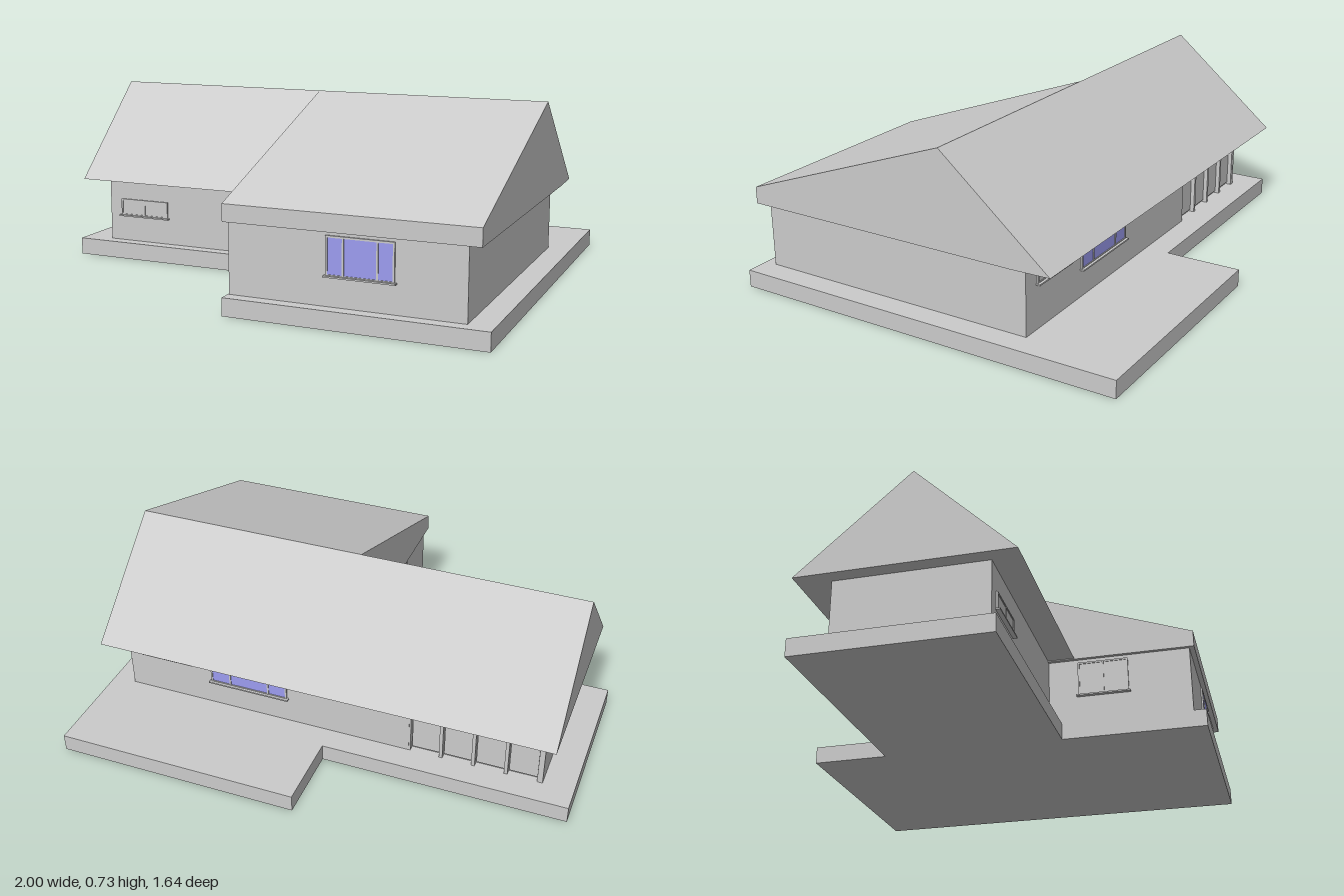
import * as THREE from 'three';

const grey = new THREE.MeshStandardMaterial({ color: 0xcccccc, flatShading: true });
const glass = new THREE.MeshStandardMaterial({ color: 0x9c9cf0 });

function extrude(points, depth) {
  const shape = new THREE.Shape(points.map(([a, b]) => new THREE.Vector2(a, b)));
  return new THREE.ExtrudeGeometry(shape, { depth, bevelEnabled: false });
}

// Footprint given as [x, z] corners, raised from y0 to y1
function plan(name, corners, y0, y1) {
  const geo = extrude(corners.map(([x, z]) => [x, -z]), y1 - y0).rotateX(-Math.PI / 2);
  const mesh = new THREE.Mesh(geo.translate(0, y0, 0), grey);
  mesh.name = name;
  return mesh;
}

// Roof cross-section given as [z, y] corners, running from x0 to x1
function roof(name, section, x0, x1) {
  const geo = extrude(section.map(([z, y]) => [-z, y]), x1 - x0).rotateY(Math.PI / 2);
  const mesh = new THREE.Mesh(geo.translate(x0, 0, 0), grey);
  mesh.name = name;
  return mesh;
}

function box(name, w, h, d, x, y, z, material = grey) {
  const mesh = new THREE.Mesh(new THREE.BoxGeometry(w, h, d), material);
  mesh.name = name;
  mesh.position.set(x, y, z);
  return mesh;
}

// Window facing +z, its bottom centre at the origin; splits are pane edges from 0 to 1
function makeWindow(name, w, h, splits, material) {
  const group = new THREE.Group();
  group.name = name;
  const t = 0.007;
  for (let i = 0; i < splits.length - 1; i++) {
    const pw = (splits[i + 1] - splits[i]) * w;
    const x = (splits[i] + splits[i + 1]) / 2 * w - w / 2;
    group.add(box('pane', pw - t, h - t, 0.004, x, h / 2, 0, material));
  }
  for (const s of splits) group.add(box('upright', t, h, 0.01, (s - 0.5) * w, h / 2, 0));
  for (const y of [0, h]) group.add(box('rail', w + t, t, 0.01, 0, y, 0));
  group.add(box('sill', w + 0.02, 0.006, 0.03, 0, -0.003, 0));
  return group;
}

export function createModel() {
  const model = new THREE.Group();

  // Stepped base with a terrace at the back
  model.add(plan('baseSlab', [
    [-1, 0.24], [0, 0.24], [0, 0.82], [1, 0.82], [1, -0.82], [0, -0.82], [0, -0.51], [-1, -0.51],
  ], 0, 0.07));

  // Walls, with a shallow recess at the back for the tall panels
  model.add(plan('walls', [
    [-0.875, 0.19], [0.005, 0.19], [0.005, 0.77], [0.905, 0.77], [0.905, -0.41],
    [-0.33, -0.41], [-0.33, -0.385], [-0.86, -0.385], [-0.86, -0.41], [-0.875, -0.41],
  ], 0.07, 0.348));

  // Two roofs sharing one ridge and the back slope
  model.add(roof('leftRoof', [[0.3, 0.347], [-0.09, 0.727], [-0.54, 0.347]], -0.935, -0.01));
  model.add(roof('rightRoof',
    [[0.79, 0.343], [0.79, 0.41], [-0.09, 0.727], [-0.54, 0.347], [-0.38, 0.343]], -0.01, 0.955));

  // Windows: name, width, height, splits, material, x, y, z, turn
  const windows = [
    ['frontWindow', 0.25, 0.14, [0, 0.25, 0.76, 1], glass, 0.517, 0.185, 0.772, 0],
    ['leftFrontWindow', 0.22, 0.065, [0, 0.5, 1], grey, -0.705, 0.183, 0.192, 0],
    ['innerSideWindow', 0.2, 0.14, [0, 0.5, 1], grey, 0.003, 0.185, 0.415, -Math.PI / 2],
    ['backWindow', 0.33, 0.14, [0, 0.25, 0.76, 1], glass, 0.36, 0.185, -0.412, Math.PI],
    ['smallBackWindow', 0.21, 0.07, [0, 0.5, 1], grey, 0.725, 0.25, -0.412, Math.PI],
  ];
  for (const [name, w, h, splits, material, x, y, z, turn] of windows) {
    const win = makeWindow(name, w, h, splits, material);
    win.position.set(x, y, z);
    win.rotation.y = turn;
    model.add(win);
  }

  // Four tall panels between posts at the back
  const panels = new THREE.Group();
  panels.name = 'tallPanels';
  const step = 0.53 / 4;
  for (let i = 0; i <= 4; i++) {
    const x = -0.86 + i * step;
    panels.add(box('post', 0.014, 0.277, 0.022, x, 0.2085, -0.398));
    if (i < 4) panels.add(box('panel', step - 0.02, 0.25, 0.008, x + step / 2, 0.205, -0.389));
  }
  model.add(panels);

  return model;
}
